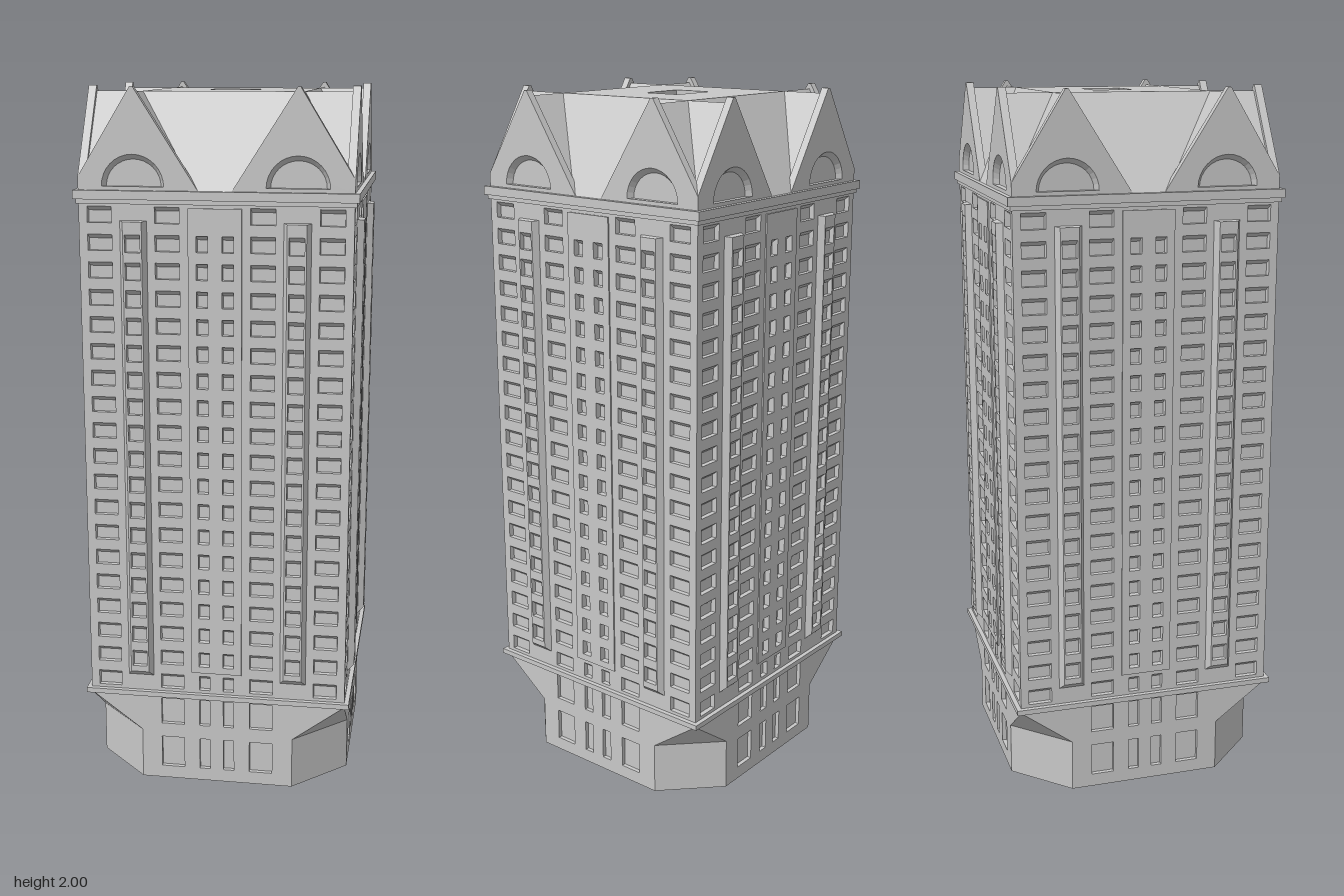
import * as THREE from 'three';
import { mergeGeometries } from 'three/addons/utils/BufferGeometryUtils.js';

const R = 0.372;   // half width of the tower
const Q = 0.222;   // chamfer, bay and ridge position
const stone = new THREE.MeshStandardMaterial({ color: 0xc8c8c8 });
stone.name = 'pale grey stone';

// Join pieces into one flat-faced mesh
function part(name, pieces) {
  const flat = pieces.map((p) => {
    const g = p.index ? p.toNonIndexed() : p;
    g.deleteAttribute('uv');
    g.computeVertexNormals();
    return g;
  });
  const m = new THREE.Mesh(mergeGeometries(flat), stone);
  m.name = name;
  return m;
}

// Flat polygons from corner points, fanned into triangles
function polys(list) {
  const pos = [];
  for (const p of list) {
    for (let i = 1; i < p.length - 1; i++) pos.push(...p[0], ...p[i], ...p[i + 1]);
  }
  const g = new THREE.BufferGeometry();
  g.setAttribute('position', new THREE.Float32BufferAttribute(pos, 3));
  return g;
}

// Outlines run anticlockwise, seen from outside
const rect = (cx, y0, w, h) => [
  [cx - w / 2, y0], [cx + w / 2, y0], [cx + w / 2, y0 + h], [cx - w / 2, y0 + h]];
const arch = (cx, y0, r) => Array.from({ length: 17 }, (_, i) => {
  const a = (i / 16) * Math.PI;
  return [cx + r * Math.cos(a), y0 + r * Math.sin(a)];
});
const toPoints = (o) => o.map(([x, y]) => new THREE.Vector2(x, y));
function holed(outline, holes) {
  const s = new THREE.Shape(toPoints(outline));
  for (const h of holes) s.holes.push(new THREE.Path(toPoints(h)));
  return s;
}
const sheet = (outline, holes, z) =>
  new THREE.ShapeGeometry(holed(outline, holes)).translate(0, 0, z);
const plate = (outline, holes, z, depth) =>
  new THREE.ExtrudeGeometry(holed(outline, holes), { depth, bevelEnabled: false }).translate(0, 0, z);

// Band of faces between two outlines at different depths
function skirt(a, za, b, zb) {
  return polys(a.map((p, i) => {
    const j = (i + 1) % a.length;
    return [[...p, za], [...a[j], za], [...b[j], zb], [...b[i], zb]];
  }));
}

// Opening with splayed head and jambs, closed by a pane
function recess(o, z, depth, sx, sy) {
  const xs = o.map((p) => p[0]);
  const cx = (Math.min(...xs) + Math.max(...xs)) / 2;
  const y0 = Math.min(...o.map((p) => p[1]));
  const inner = o.map(([x, y]) => [cx + (x - cx) * sx, y0 + (y - y0) * sy]);
  return [skirt(o, z, inner, z - depth), sheet(inner, [], z - depth)];
}
const windowRecess = (z) => (o) => recess(o, z, 0.014, 0.95, 0.74);

function createFacade() {
  const f = new THREE.Group();
  f.name = 'facade';

  // Window grid: 19 floors, narrow centre windows and bays skip some
  const wide = [], centre = [], low = [], bay = [];
  for (let i = 0; i < 19; i++) {
    const y = 1.643 - i * 0.0752;
    for (const s of [-1, 1]) {
      wide.push(rect(s * 0.315, y, 0.067, 0.044), rect(s * 0.13, y, 0.067, 0.044));
      if (i === 18) low.push(rect(s * 0.035, y, 0.031, 0.044));
      else if (i > 0) {
        centre.push(rect(s * 0.035, y, 0.031, 0.044));
        bay.push(rect(s * Q, y - 0.002, 0.042, 0.048));
      }
    }
  }
  const wallHoles = [...wide, ...centre, ...low];
  f.add(part('shaftWall', [sheet(rect(0, 0.28, 2 * R, 1.425), wallHoles, R)]));
  f.add(part('shaftWindows', wallHoles.flatMap(windowRecess(R))));
  f.add(part('centrePanel', [plate(rect(0, 0.345, 0.146, 1.34), centre, R, 0.004)]));

  // Projecting window bays with splayed sides
  for (const s of [-1, 1]) {
    const back = rect(s * Q, 0.328, 0.074, 1.322);
    const front = rect(s * Q, 0.345, 0.052, 1.303);
    const holes = bay.filter((o) => o[0][0] * s > 0);
    f.add(part(s > 0 ? 'leftBay' : 'rightBay', [
      skirt(back, R, front, 0.39), sheet(front, holes, 0.39),
      ...holes.flatMap(windowRecess(0.39))]));
  }

  // Base wall flaring to the full width at the top
  const baseHoles = [];
  for (const s of [-1, 1]) {
    for (const [x, w] of [[0.13, 0.067], [0.035, 0.031]]) {
      baseHoles.push(rect(s * x, 0.038, w, 0.095), rect(s * x, 0.176, w, 0.08));
    }
  }
  const baseOutline = [[-Q, 0], [Q, 0], [Q, 0.152], [R, 0.265], [-R, 0.265], [-Q, 0.152]];
  f.add(part('baseWall', [sheet(baseOutline, baseHoles, R)]));
  f.add(part('baseWindows', baseHoles.flatMap((o) => recess(o, R, 0.012, 1, 1))));

  // Chamfered corner with a sloping corbel above
  f.add(part('baseCorner', [polys([
    [[Q, 0, R], [R, 0, Q], [R, 0.152, Q], [Q, 0.152, R]],
    [[Q, 0.152, R], [R, 0.152, Q], [R, 0.265, R]]])]));

  // Two arched gables on the roof edge
  for (const s of [-1, 1]) {
    const outline = [[-R, 1.73], [-0.045, 1.73], [-Q + 0.004, 2], [-Q - 0.004, 2], [-R, 1.765]];
    const g = s < 0 ? outline : outline.map(([x, y]) => [-x, y]).reverse();
    const hole = arch(s * Q, 1.74, 0.085);
    f.add(part(s > 0 ? 'leftGable' : 'rightGable',
      [plate(g, [hole], R - 0.022, 0.022), ...recess(hole, R, 0.016, 0.88, 0.84)]));
  }

  // Main roof slope and the gable roofs running into it
  const H = 1.985, E = 1.73, C = 1.75;
  const slopes = [[[-0.05, E, R], [0.05, E, R], [Q, H, Q], [-Q, H, Q]]];
  for (const t of [
    [[-0.05, E, R], [-Q, H, Q], [-Q, H, R]],
    [[-Q, H, R], [-Q, H, Q], [-R, C, R]]]) {
    slopes.push(t, t.map(([x, y, z]) => [-x, y, z]).reverse());
  }
  f.add(part('roofSlopes', [polys(slopes)]));
  return f;
}

export function createModel() {
  const model = new THREE.Group();
  model.name = 'tower';

  // Four identical sides
  const facade = createFacade();
  for (let k = 0; k < 4; k++) {
    const side = k ? facade.clone() : facade;
    side.name = ['front', 'left', 'back', 'right'][k] + 'Facade';
    side.rotation.y = (k * Math.PI) / 2;
    model.add(side);
  }

  // Cornices: half width, bottom, top
  for (const [name, w, y0, y1] of [
    ['baseCornice', 0.385, 0.265, 0.28],
    ['topCorniceMoulding', 0.378, 1.694, 1.706],
    ['topCornice', 0.385, 1.706, 1.73]]) {
    model.add(part(name, [
      new THREE.BoxGeometry(2 * w, y1 - y0, 2 * w).translate(0, (y0 + y1) / 2, 0)]));
  }

  // Flat roof with a sunken well
  const well = rect(0, -0.05, 0.142, 0.117);
  const top = part('flatRoof', [
    sheet(rect(0, -Q, 2 * Q, 2 * Q), [well], 0), ...recess(well, 0, 0.06, 1, 1)]);
  top.rotation.x = -Math.PI / 2;
  top.position.y = 1.985;
  model.add(top);

  // Octagonal underside
  const foot = [[-Q, -R], [Q, -R], [R, -Q], [R, Q], [Q, R], [-Q, R], [-R, Q], [-R, -Q]];
  const under = part('underside', [sheet(foot, [], 0)]);
  under.rotation.x = Math.PI / 2;
  model.add(under);
  return model;
}
